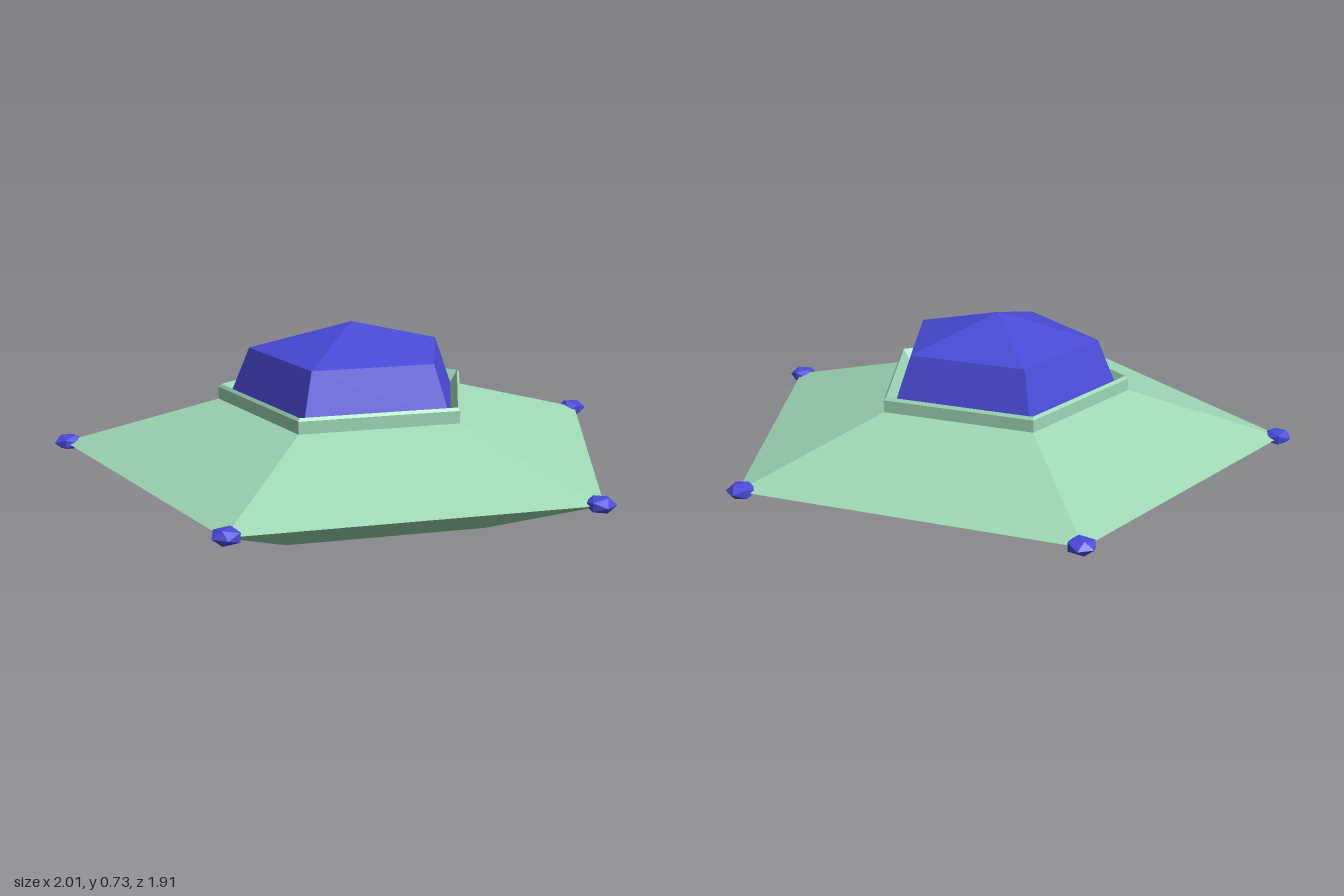
import * as THREE from 'three';

const SIDES = 5;
const CENTRE_Z = 0.09;

// Five-sided revolved shell with one corner pointing to the back
function pentagonShell(name, profile, material) {
  const points = profile.map(([r, y]) => new THREE.Vector2(r, y));
  const mesh = new THREE.Mesh(new THREE.LatheGeometry(points, SIDES, Math.PI), material);
  mesh.name = name;
  mesh.position.z = CENTRE_Z;
  return mesh;
}

export function createModel() {
  const group = new THREE.Group();
  group.name = 'flyingSaucer';
  const green = new THREE.MeshStandardMaterial({ color: 0x9fd8b5, flatShading: true });
  const blue = new THREE.MeshStandardMaterial({ color: 0x4a4ad8, flatShading: true });

  // Rounded belly, from the lowest point out to the rim
  group.add(pentagonShell('lowerHull', [[0, 0], [0.355, 0.06], [0.575, 0.11], [1.02, 0.283]], green));

  // Sloping deck up to the collar
  group.add(pentagonShell('upperHull', [[1.02, 0.283], [0.465, 0.45]], green));

  // Collar with a bevelled lip that dips in to meet the canopy
  group.add(pentagonShell('collar', [[0.465, 0.45], [0.465, 0.493], [0.455, 0.503], [0.426, 0.46]], green));

  // Canopy with steep sides and a shallow roof
  group.add(pentagonShell('canopy', [[0.428, 0.455], [0.355, 0.635], [0, 0.733]], blue));

  // Flattened lights on the corners
  const lightGeometry = new THREE.IcosahedronGeometry(0.052, 0);
  for (let i = 0; i < SIDES; i++) {
    const angle = Math.PI + (i * 2 * Math.PI) / SIDES;
    const light = new THREE.Mesh(lightGeometry, blue);
    light.name = `cornerLight${i + 1}`;
    light.scale.y = 0.55;
    light.rotation.y = angle + Math.PI / 2;
    light.position.set(Math.sin(angle) * 1.005, 0.284, CENTRE_Z + Math.cos(angle) * 1.005);
    group.add(light);
  }
  return group;
}
